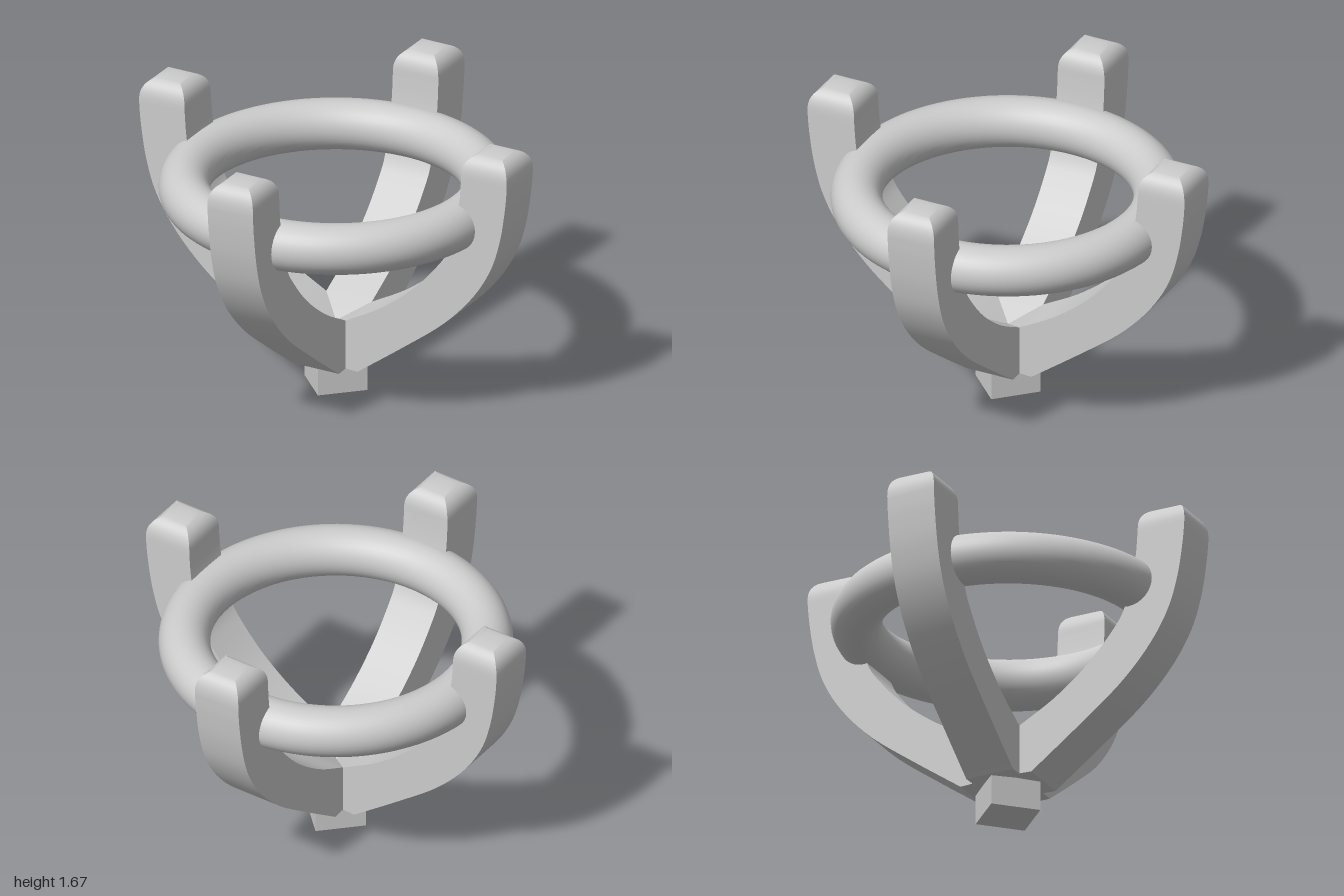
import * as THREE from 'three';
import { toCreasedNormals } from 'three/addons/utils/BufferGeometryUtils.js';

const W = 0.148; // half width of the square prongs

// Prong along +x: square rings lofted between an outer and an inner edge curve, with a domed tip
function prongGeometry() {
  const spline = (pts) => new THREE.SplineCurve(pts.map(([r, y]) => new THREE.Vector2(r, y)));
  const outer = spline([[0.226, 0.176], [0.53, 0.4], [0.785, 0.6], [0.97, 0.8], [1.09, 1.0],
    [1.152, 1.2], [1.184, 1.4], [1.195, 1.53]]);
  const inner = spline([[0, 0.385], [0.148, 0.475], [0.37, 0.6], [0.575, 0.76], [0.73, 0.93],
    [0.817, 1.07], [0.88, 1.33], [0.899, 1.53]]);

  const positions = [];
  const ring = (o, i, w) => positions.push(
    o.x, o.y, w, o.x, o.y, -w, i.x, i.y, -w, i.x, i.y, w);

  // flat foot, then the curved shaft
  ring(new THREE.Vector2(0.225, 0.175), new THREE.Vector2(0, 0.185), W);
  const steps = 32;
  for (let k = 0; k <= steps; k++) ring(outer.getPoint(k / steps), inner.getPoint(k / steps), W);

  // domed tip: square sections shrinking along a rounded profile
  const domeSteps = 14;
  for (let k = 1; k <= domeSteps; k++) {
    const a = (k / domeSteps) * Math.PI / 2;
    const s = W * Math.pow(Math.max(Math.cos(a), 0), 0.75);
    const y = 1.53 + 0.145 * Math.pow(Math.sin(a), 0.75);
    ring(new THREE.Vector2(1.047 + s, y), new THREE.Vector2(1.047 - s, y), s);
  }

  const index = [0, 2, 1, 0, 3, 2];
  const rings = positions.length / 12;
  for (let k = 0; k < rings - 1; k++) {
    for (let j = 0; j < 4; j++) {
      const a = k * 4 + j, b = k * 4 + (j + 1) % 4;
      index.push(a, b, b + 4, a, b + 4, a + 4);
    }
  }
  const geometry = new THREE.BufferGeometry();
  geometry.setAttribute('position', new THREE.Float32BufferAttribute(positions, 3));
  geometry.setIndex(index);
  return toCreasedNormals(geometry, 0.6);
}

export function createModel() {
  const group = new THREE.Group();
  const material = new THREE.MeshStandardMaterial({ color: 0xcccccc });
  const add = (name, geometry) => {
    const mesh = new THREE.Mesh(geometry, material);
    mesh.name = name;
    group.add(mesh);
    return mesh;
  };

  // square foot block
  add('base', new THREE.BoxGeometry(0.29, 0.2, 0.29)).position.y = 0.1;

  // horizontal ring held by the prongs
  const hoop = add('ring', new THREE.TorusGeometry(0.854, 0.146, 32, 96));
  hoop.rotation.x = Math.PI / 2;
  hoop.position.y = 1.215;

  // four prongs on the diagonals
  const prong = prongGeometry();
  for (let k = 0; k < 4; k++) {
    add('prong' + (k + 1), prong).rotation.y = Math.PI / 4 + k * Math.PI / 2;
  }
  return group;
}
